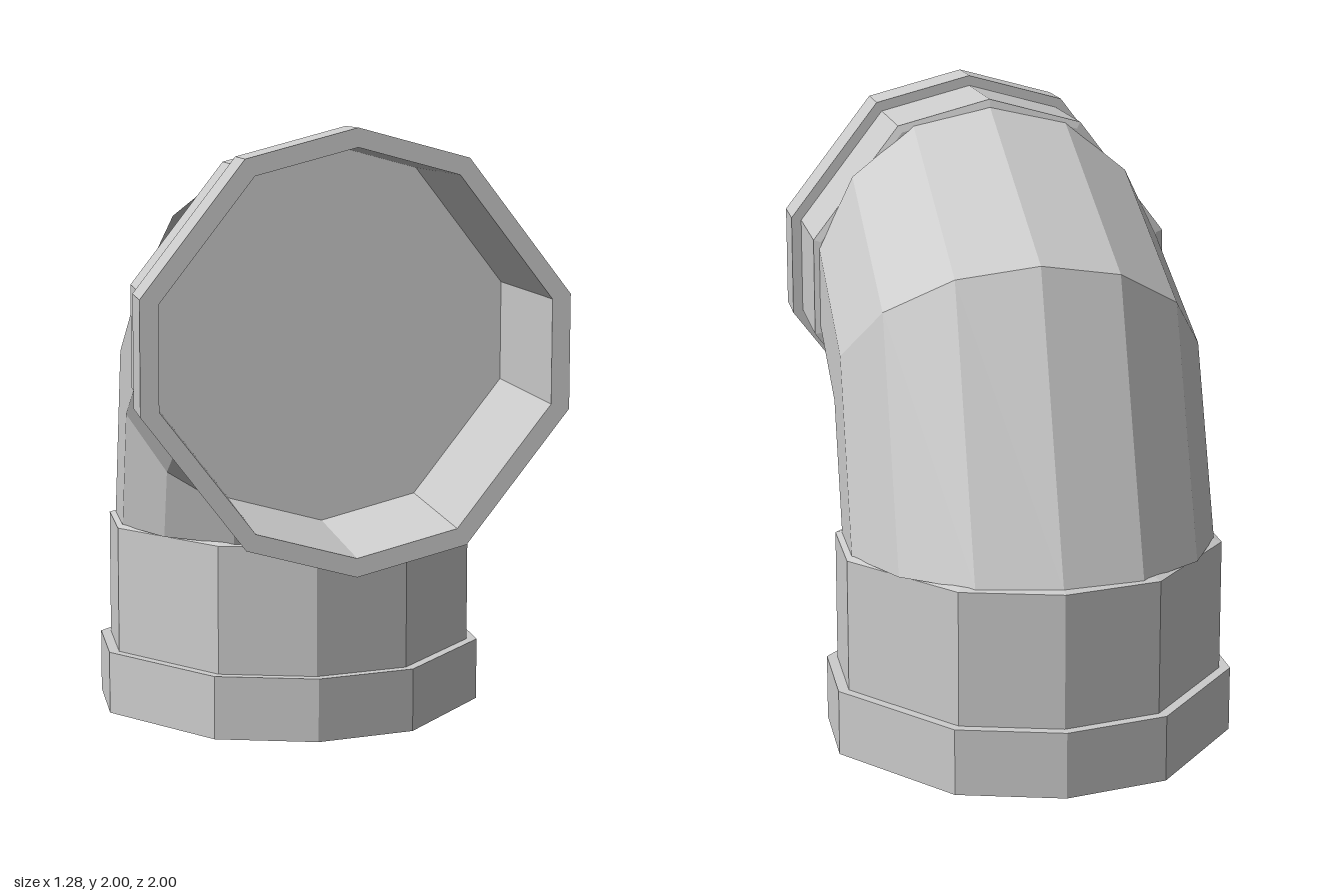
import * as THREE from 'three';

// Uneven ten-sided outline shared by both collars, in degrees
const ANGLES = [0, 30, 75, 105, 150, 180, 210, 255, 285, 330, 360];

// Stepped socket profile: closed floor, bore, rim, then the outside
const PROFILE = [
  [0, 0.63], [0.6, 0.63], [0.603, 0], [0.66, 0], [0.66, 0.21],
  [0.625, 0.21], [0.625, 0.635], [0.6, 0.643], [0, 0.643],
].map(([r, y]) => new THREE.Vector2(r, y));

function collarGeometry() {
  const geometry = new THREE.LatheGeometry(PROFILE, ANGLES.length - 1);
  const position = geometry.attributes.position;
  for (let i = 0; i < position.count; i++) {
    // Turn each column of the lathe to its own angle
    const angle = THREE.MathUtils.degToRad(ANGLES[Math.floor(i / PROFILE.length)]);
    const { x: r, y } = PROFILE[i % PROFILE.length];
    position.setXYZ(i, r * Math.sin(angle), y, r * Math.cos(angle));
  }
  geometry.computeVertexNormals();
  return geometry;
}

export function createModel() {
  const group = new THREE.Group();
  const material = new THREE.MeshStandardMaterial({
    color: 0xcccccc, flatShading: true, side: THREE.DoubleSide,
  });
  const add = (name, geometry, x, y, z) => {
    const mesh = new THREE.Mesh(geometry, material);
    mesh.name = name;
    mesh.position.set(x, y, z);
    group.add(mesh);
    return mesh;
  };

  // Sockets at the two ends of the pipe
  const collar = collarGeometry();
  add('bottomCollar', collar, 0, 0, -0.34);
  add('frontCollar', collar, 0, 1.342, 1).rotation.x = -Math.PI / 2;

  // Mitred quarter bend joining them
  const bend = new THREE.TorusGeometry(0.702, 0.6, 14, 2, Math.PI / 2);
  add('elbowPipe', bend, 0, 0.64, 0.362).rotation.y = Math.PI / 2;

  return group;
}
